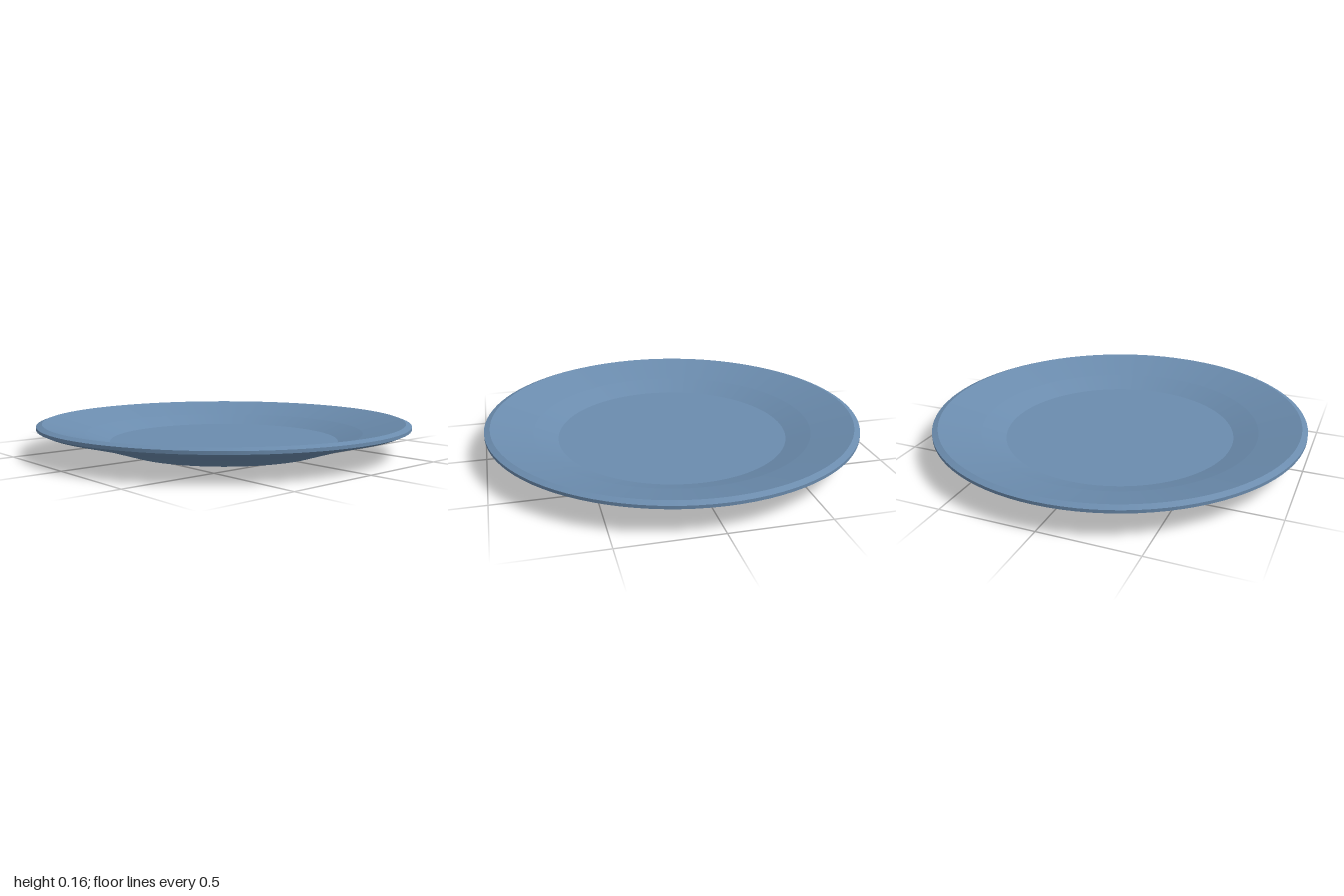
import * as THREE from 'three';
import { mergeGeometries } from 'three/addons/utils/BufferGeometryUtils.js';

const SEGMENTS = 96;

// Revolve each span of the profile on its own, so the rings meet at crisp edges
// while staying smooth around the plate.
function turned(name, profile, material) {
  const rings = [];
  for (let i = 0; i < profile.length - 1; i++) {
    const span = [profile[i], profile[i + 1]].map(([r, y]) => new THREE.Vector2(r, y));
    rings.push(new THREE.LatheGeometry(span, SEGMENTS));
  }
  const mesh = new THREE.Mesh(mergeGeometries(rings), material);
  mesh.name = name;
  return mesh;
}

export function createModel() {
  const glaze = new THREE.MeshStandardMaterial({ color: 0x6b8cae });
  glaze.name = 'blue glaze';

  const plate = new THREE.Group();
  plate.name = 'plate';
  plate.add(
    // recessed base and the foot ring it stands on
    turned('foot', [[0, 0.025], [0.481, 0.025], [0.497, 0], [0.548, 0], [0.56, 0.004]], glaze),
    // sloping outer wall
    turned('underside', [[0.56, 0.004], [0.75, 0.065], [0.97, 0.122]], glaze),
    // bevelled lip
    turned('rim', [[0.97, 0.122], [1, 0.136], [1, 0.152], [0.97, 0.163]], glaze),
    // inner slope and flat eating surface
    turned('well', [[0.97, 0.163], [0.75, 0.1], [0.62, 0.053], [0, 0.053]], glaze),
  );
  return plate;
}
